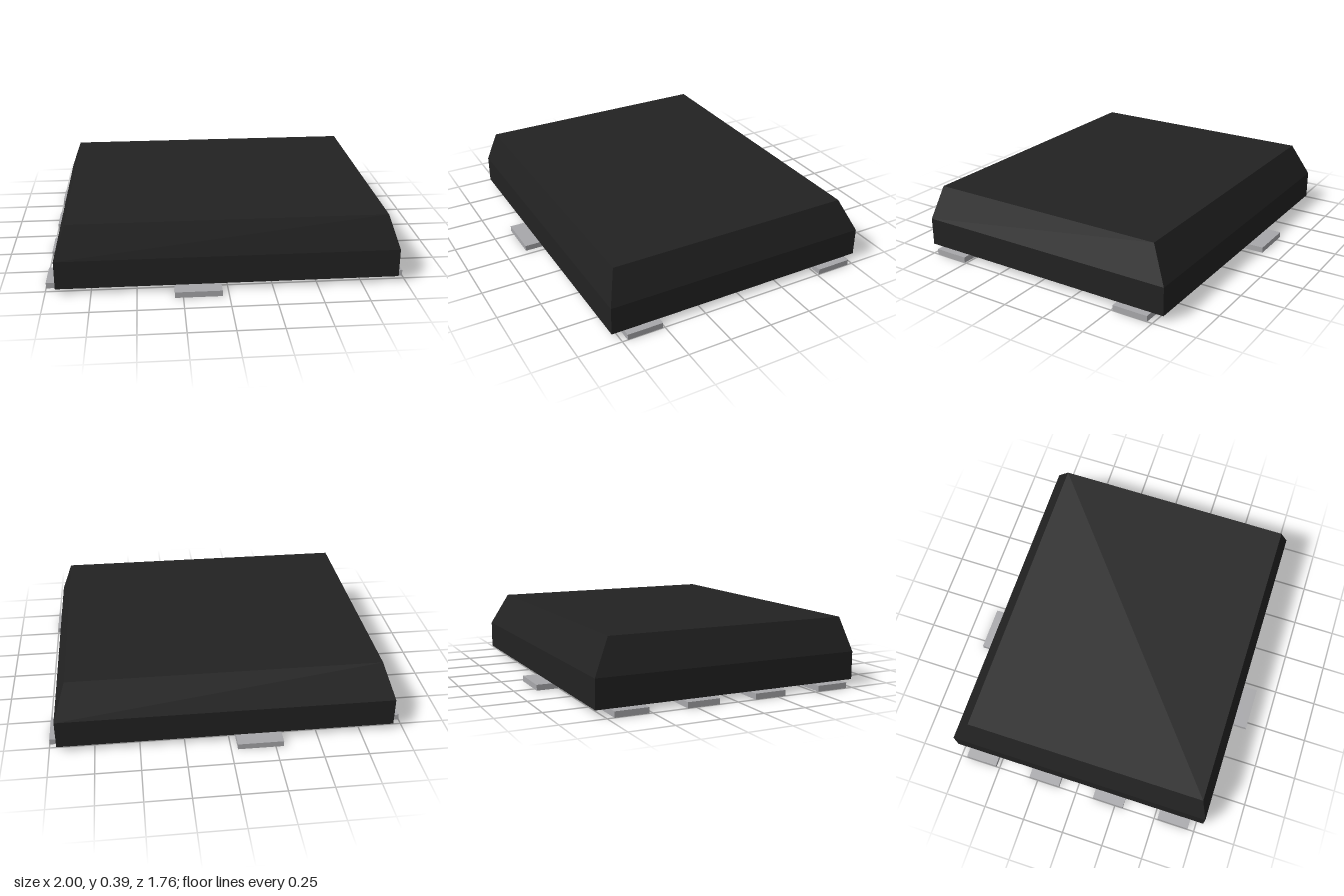
import * as THREE from 'three';

// Solid from stacked rectangles: [y, x0, x1, z0, z1], bottom to top
function rectLoft(sections) {
  const pos = [];
  const rings = sections.map(([y, x0, x1, z0, z1]) => [
    [x0, y, z1], [x1, y, z1], [x1, y, z0], [x0, y, z0],
  ]);
  const quad = (a, b, c, d) => pos.push(...a, ...b, ...c, ...a, ...c, ...d);
  for (let i = 0; i < rings.length - 1; i++) {
    for (let k = 0; k < 4; k++) {
      const n = (k + 1) % 4;
      quad(rings[i][k], rings[i][n], rings[i + 1][n], rings[i + 1][k]);
    }
  }
  const top = rings[rings.length - 1];
  const bottom = rings[0];
  quad(top[0], top[1], top[2], top[3]);
  quad(bottom[3], bottom[2], bottom[1], bottom[0]);
  const geometry = new THREE.BufferGeometry();
  geometry.setAttribute('position', new THREE.Float32BufferAttribute(pos, 3));
  geometry.computeVertexNormals();
  return geometry;
}

export function createModel() {
  const group = new THREE.Group();
  const plastic = new THREE.MeshStandardMaterial({ color: 0x222222 });
  plastic.name = 'black plastic';
  const metal = new THREE.MeshStandardMaterial({ color: 0xa8a8ab });
  metal.name = 'grey metal';

  const padHeight = 0.033;

  // Moulded body: upright base with an unevenly tapered top
  const body = new THREE.Mesh(rectLoft([
    [padHeight, -0.943, 0.958, -0.79, 0.79],
    [0.195, -0.943, 0.958, -0.79, 0.79],
    [0.389, -0.875, 0.89, -0.69, 0.74],
  ]), plastic);
  body.name = 'body';
  group.add(body);

  const addPad = (name, x0, x1, z0, z1) => {
    const pad = new THREE.Mesh(new THREE.BoxGeometry(x1 - x0, padHeight, z1 - z0), metal);
    pad.position.set((x0 + x1) / 2, padHeight / 2, (z0 + z1) / 2);
    pad.name = name;
    group.add(pad);
  };

  // Large pad under the body
  addPad('thermalPad', -0.315, 0.725, -0.615, 0.615);

  // Four contacts along the -x edge
  [-0.615, -0.205, 0.205, 0.615].forEach((z, i) =>
    addPad(`rightContact${i + 1}`, -1, -0.785, z - 0.095, z + 0.095));

  // Mirrored contacts on the +x edge and on the front and back edges
  for (const s of [-1, 1]) {
    const end = s > 0 ? 'Front' : 'Back';
    addPad(`leftContact${end}`, 0.878, 1, s * 0.615 - 0.104, s * 0.615 + 0.104);
    addPad(`tab${end}`, -0.295, -0.037, s * 0.817 - 0.063, s * 0.817 + 0.063);
  }
  return group;
}
